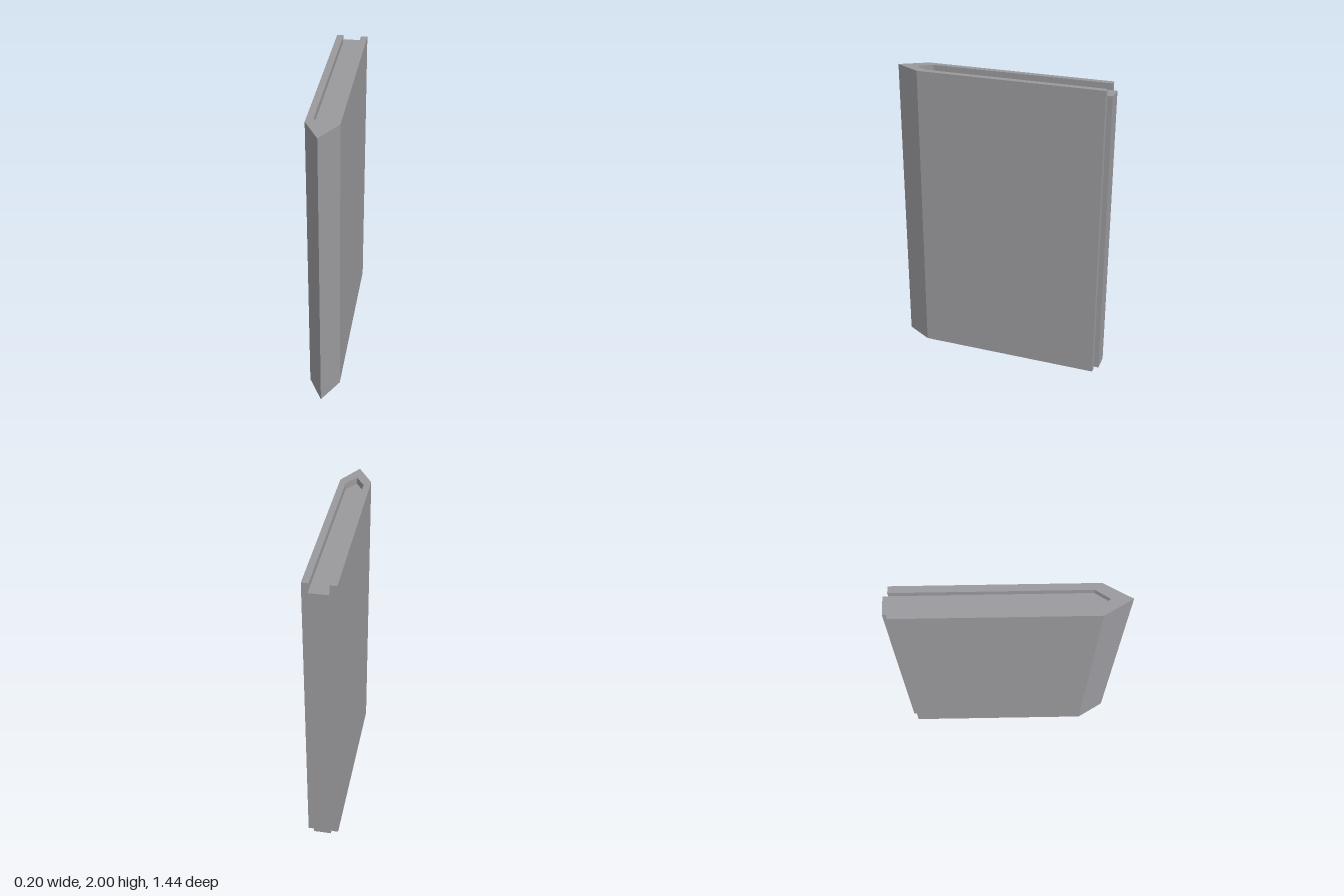
import * as THREE from 'three';

const material = new THREE.MeshStandardMaterial({ color: 0x9a999d, flatShading: true });

// Extrudes a plan outline of [x, z] points upward from y0 to y1.
function upright(name, plan, y0, y1) {
  const shape = new THREE.Shape(plan.map(([x, z]) => new THREE.Vector2(x, -z)));
  const geometry = new THREE.ExtrudeGeometry(shape, { depth: y1 - y0, bevelEnabled: false });
  geometry.rotateX(-Math.PI / 2).translate(0, y0, 0);
  const mesh = new THREE.Mesh(geometry, material);
  mesh.name = name;
  return mesh;
}

export function createModel() {
  const group = new THREE.Group();
  group.name = 'pointedPanel';

  const tip = 0.721, shellBack = -0.688;
  const outer = 0.102, outerShoulder = 0.545;
  const inner = 0.059, innerShoulder = 0.5, innerTip = 0.59;

  // Pointed cover wrapping both faces, open at the back, top and bottom
  group.add(upright('cover', [
    [-outer, shellBack], [-outer, outerShoulder], [0, tip], [outer, outerShoulder], [outer, shellBack],
    [inner, shellBack], [inner, innerShoulder], [0, innerTip], [-inner, innerShoulder], [-inner, shellBack],
  ], 0, 2));

  // Core slab, recessed at top and bottom and standing proud at the back
  group.add(upright('core', [
    [-inner, -tip], [-inner, innerShoulder], [0, innerTip], [inner, innerShoulder], [inner, -tip],
  ], 0.013, 1.957));

  return group;
}
